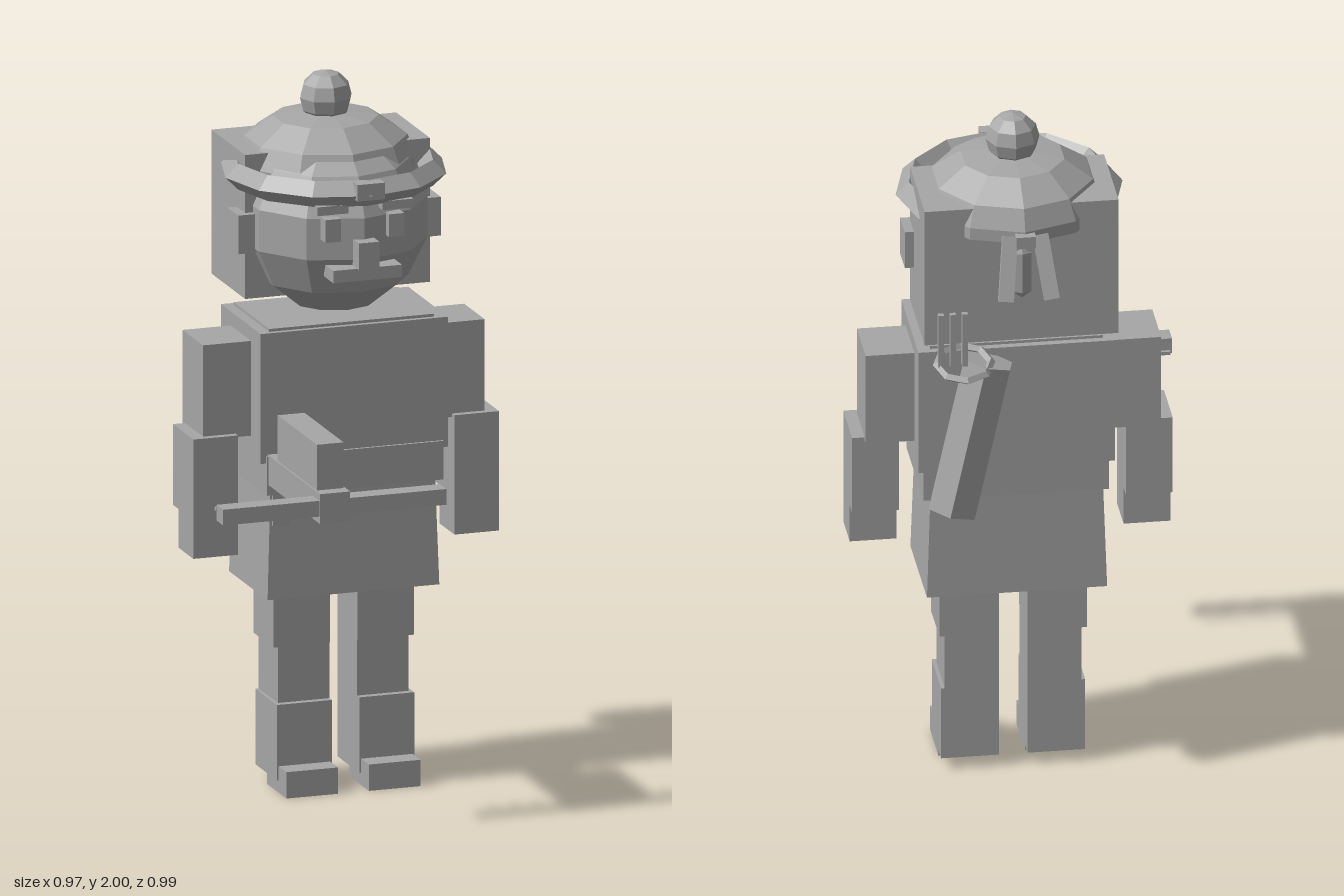
import * as THREE from 'three';

export function createModel() {
  const group = new THREE.Group();
  const CX = 0.04; // body midline
  const HZ = -0.105; // head depth
  const grey = new THREE.MeshStandardMaterial({ color: 0xa6a6a6, flatShading: true, side: THREE.DoubleSide });
  grey.name = 'grey';

  const add = (name, geo, x = 0, y = 0, z = 0) => {
    const mesh = new THREE.Mesh(geo, grey);
    mesh.name = name;
    mesh.position.set(x, y, z);
    group.add(mesh);
    return mesh;
  };
  // Box given by its limits on each axis
  const box = (name, x0, x1, y0, y1, z0, z1) =>
    add(name, new THREE.BoxGeometry(x1 - x0, y1 - y0, z1 - z0), (x0 + x1) / 2, (y0 + y1) / 2, (z0 + z1) / 2);
  // Pair of boxes mirrored about the midline
  const pair = (name, x0, x1, ...rest) => {
    box(name + 'Right', x0, x1, ...rest);
    box(name + 'Left', 2 * CX - x1, 2 * CX - x0, ...rest);
  };
  // Prism between two points
  const rod = (name, a, b, r, sides) => {
    const dir = b.clone().sub(a);
    const mesh = add(name, new THREE.CylinderGeometry(r, r, dir.length(), sides));
    mesh.position.copy(a).add(b).multiplyScalar(0.5);
    mesh.quaternion.setFromUnitVectors(new THREE.Vector3(0, 1, 0), dir.normalize());
    return mesh;
  };

  // Legs
  pair('thigh', -0.165, 0, 0.41, 0.6, -0.185, -0.02);
  pair('knee', -0.15, 0, 0.25, 0.41, -0.185, -0.025);
  pair('shin', -0.16, 0, 0.035, 0.25, -0.185, -0.005);
  pair('shoe', -0.155, -0.005, 0, 0.075, -0.1, 0.06);

  // Flared coat skirt
  const skirt = new THREE.BoxGeometry(0.5, 0.3, 0.32);
  const p = skirt.attributes.position;
  for (let i = 0; i < p.count; i++) {
    if (p.getY(i) > 0) p.setXYZ(i, p.getX(i) * 0.96, p.getY(i), p.getZ(i) * 0.96);
  }
  add('coatSkirt', skirt, CX, 0.72, -0.1);

  // Torso
  box('torso', -0.23, 0.315, 0.96, 1.33, -0.27, 0.06);
  box('belt', -0.215, 0.3, 0.87, 0.98, -0.262, 0.068);
  box('collar', -0.2, 0.28, 1.32, 1.338, -0.25, 0.045);

  // Arms
  pair('upperArm', -0.37, -0.23, 1.02, 1.29, -0.19, -0.02);
  pair('forearm', -0.405, -0.275, 0.8, 1.03, -0.17, 0);
  pair('hand', -0.405, -0.275, 0.69, 0.8, -0.125, 0);

  // Head and face
  const skull = new THREE.SphereGeometry(0.265, 10, 7);
  skull.rotateY(Math.PI / 2);
  add('head', skull, CX, 1.6, HZ);
  box('hair', -0.228, 0.31, 1.395, 1.805, -0.355, -0.075);
  pair('ear', -0.255, -0.2, 1.53, 1.64, -0.145, -0.055);
  pair('eye', -0.075, -0.03, 1.6, 1.665, 0.08, 0.155);
  pair('brow', -0.1, -0.01, 1.68, 1.705, 0.06, 0.16);
  box('nose', 0.01, 0.07, 1.525, 1.6, 0.12, 0.19);
  box('mouth', -0.06, 0.14, 1.49, 1.525, 0.1, 0.178);

  // Hat: faceted dome, pompom, partial brim, badge
  const domeProfile = [[0.25, 1.72], [0.25, 1.755], [0.225, 1.815], [0.145, 1.87], [0, 1.89]]
    .map(([r, y]) => new THREE.Vector2(r, y));
  add('hatDome', new THREE.LatheGeometry(domeProfile, 10), CX, 0, -0.17);
  add('pompom', new THREE.SphereGeometry(0.075, 8, 6), CX, 1.925, -0.17);
  const brim = new THREE.TorusGeometry(0.278, 0.037, 4, 8, Math.PI * 4 / 3);
  brim.rotateZ(-Math.PI / 6);
  brim.rotateX(Math.PI / 2);
  add('hatBrim', brim, CX, 1.737, HZ);
  box('hatBadge', 0, 0.08, 1.725, 1.772, 0.17, 0.208);

  // Ribbons behind the hat
  box('ribbonKnot', 0.013, 0.068, 1.715, 1.75, -0.44, -0.35);
  for (const s of [-1, 1]) {
    const ribbon = add('ribbon', new THREE.BoxGeometry(0.042, 0.18, 0.02), CX + s * 0.053, 1.662, -0.452);
    ribbon.rotation.set(0.42, 0, s * 0.12);
  }

  // Quiver with strap ring and arrows
  rod('quiver', new THREE.Vector3(0.13, 1.32, -0.325), new THREE.Vector3(0.235, 0.89, -0.37), 0.075, 6);
  const ring = add('quiverRing', new THREE.TorusGeometry(0.075, 0.012, 4, 8), 0.2, 1.33, -0.35);
  ring.rotation.x = Math.PI / 2 - 0.25;
  for (let i = 0; i < 3; i++) {
    const x = 0.2 + i * 0.033;
    box('arrow', x - 0.008, x + 0.008, 1.33, 1.49, -0.37, -0.35);
  }

  // Crossbow
  box('crossbowStock', -0.21, -0.122, 0.9, 0.985, 0.05, 0.495);
  box('crossbowHousing', -0.205, -0.127, 0.98, 1.115, 0.13, 0.455);
  box('crossbowGrip', -0.195, -0.145, 0.78, 0.91, 0.01, 0.064);
  box('crossbowBow', -0.49, 0.16, 0.92, 0.965, 0.435, 0.49);
  box('crossbowString', -0.48, 0.15, 0.937, 0.947, 0.391, 0.401);

  return group;
}
